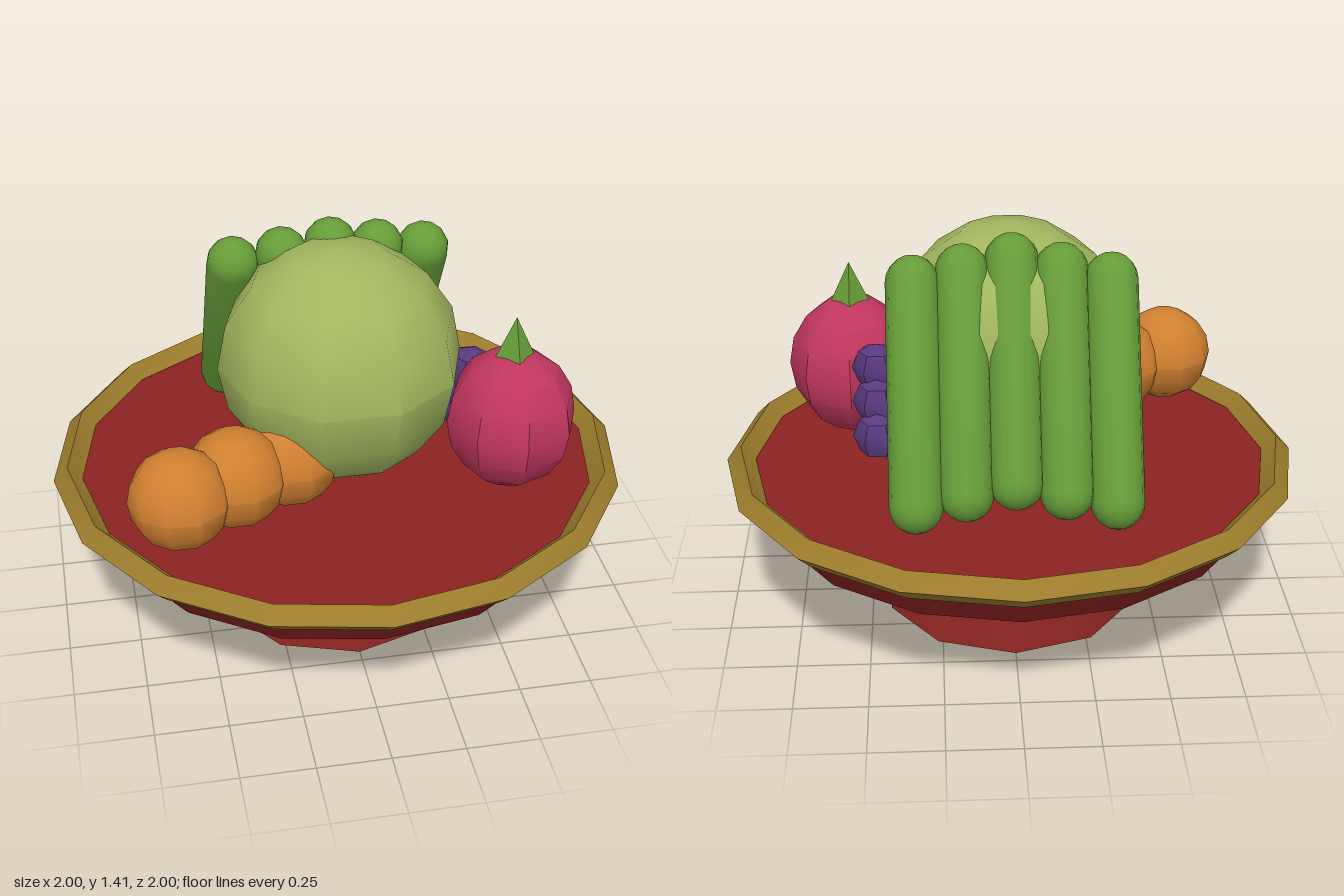
import * as THREE from 'three';
import { toCreasedNormals } from 'three/addons/utils/BufferGeometryUtils.js';

const material = (name, color) => {
  const m = new THREE.MeshStandardMaterial({ color });
  m.name = name;
  return m;
};

export function createModel() {
  const red = material('lacquer red', 0x8b2323);
  const gold = material('rim gold', 0x9c7c2c);
  const melonGreen = material('melon green', 0xa2b65e);
  const green = material('leaf green', 0x669c38);
  const orange = material('orange', 0xd08030);
  const crimson = material('crimson', 0xc0365f);
  const purple = material('grape purple', 0x5a3a80);

  const model = new THREE.Group();
  model.name = 'fruitStand';

  // Adds a part with soft low-poly shading and sharp hard edges
  const add = (name, geometry, mat, x, y, z, parent = model) => {
    const mesh = new THREE.Mesh(toCreasedNormals(geometry, THREE.MathUtils.degToRad(40)), mat);
    mesh.name = name;
    mesh.position.set(x, y, z);
    parent.add(mesh);
    return mesh;
  };
  const group = (name) => {
    const g = new THREE.Group();
    g.name = name;
    model.add(g);
    return g;
  };

  // Stand: flared foot, dish and faceted rim
  add('foot', new THREE.CylinderGeometry(0.33, 0.455, 0.39, 10), red, 0, 0.195, 0);
  add('dish', new THREE.CylinderGeometry(0.972, 0.855, 0.16, 16), red, 0, 0.46, 0);
  add('rim', new THREE.TorusGeometry(0.95, 0.05, 4, 16).rotateX(Math.PI / 2), gold, 0, 0.543, 0);

  // Big round melon in the middle
  add('melon', new THREE.SphereGeometry(0.42, 10, 8), melonGreen, 0, 0.972, 0.065);

  // Five green pods leaning on the back of the melon, fanned upward at the centre
  const pods = group('greenPods');
  for (let i = -2; i <= 2; i++) {
    const slide = (2 - Math.abs(i)) * 0.035;
    const tilt = 0.53;
    const pod = add('pod', new THREE.CapsuleGeometry(0.09, 0.74, 5, 12), green,
      i * 0.165, 0.94 + slide * Math.cos(tilt), -0.335 + slide * Math.sin(tilt), pods);
    pod.rotation.x = tilt;
  }

  // Row of oranges running under the melon
  const oranges = group('oranges');
  for (let i = 0; i < 3; i++) {
    add('orange', new THREE.SphereGeometry(0.172, 10, 8), orange,
      -0.6 + i * 0.195, 0.73, 0.453 - i * 0.093, oranges);
  }

  // Crimson fruit with a pointed leaf crown
  add('crimsonFruit', new THREE.SphereGeometry(0.225, 8, 8).scale(1, 1.13, 1), crimson, 0.558, 0.798, 0.263);
  add('leafCrown', new THREE.ConeGeometry(0.07, 0.15, 4), green, 0.558, 1.105, 0.263);

  // Grapes stacked in steps behind the crimson fruit
  const grapes = group('grapes');
  for (let row = 0; row < 3; row++) {
    for (const x of [0.32, 0.465]) {
      add('grape', new THREE.SphereGeometry(0.085, 6, 4), purple,
        x, 0.66 + row * 0.105, -0.065 + row * 0.058, grapes);
    }
  }

  return model;
}
